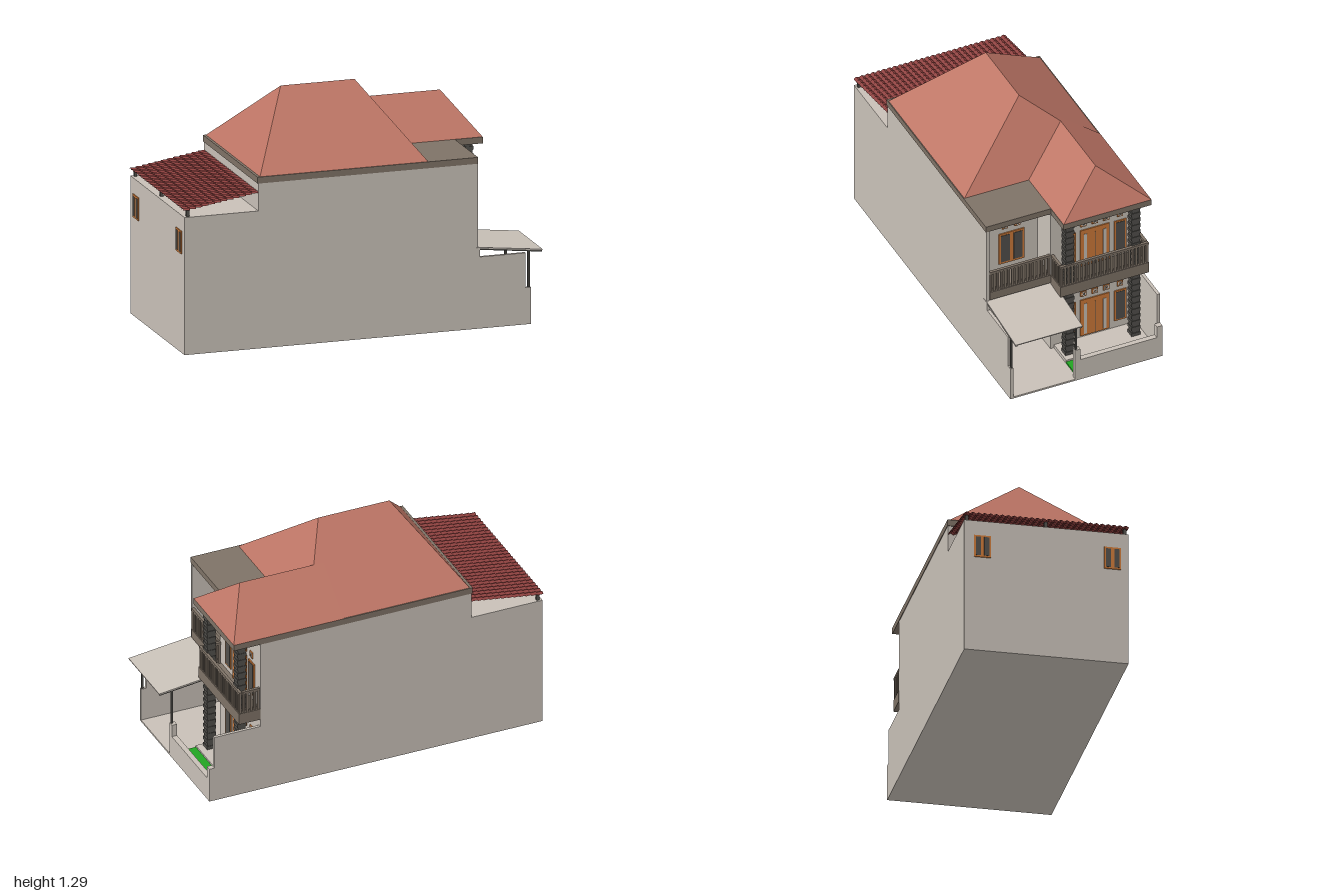
import * as THREE from 'three';

export function createModel() {
  const house = new THREE.Group();
  house.name = 'house';

  const paint = (name, color, side = THREE.FrontSide) => {
    const m = new THREE.MeshStandardMaterial({ color, side });
    m.name = name;
    return m;
  };
  const plaster = paint('plaster', 0xc8c0b7);
  const concrete = paint('concrete', 0x7e7266);
  const roofRed = paint('roofRed', 0xbd7565);
  const tileRed = paint('tileRed', 0x8e403e, THREE.DoubleSide);
  const wood = paint('orangeWood', 0xcd7a39);
  const stone = paint('darkStone', 0x514f4b);
  const grass = paint('grass', 0x22a422);

  const add = (name, geometry, material, parent = house) => {
    const mesh = new THREE.Mesh(geometry, material);
    mesh.name = name;
    parent.add(mesh);
    return mesh;
  };
  // Box given by its extents along each axis
  const box = (name, mat, x0, x1, y0, y1, z0, z1, parent) => {
    const g = new THREE.BoxGeometry(x1 - x0, y1 - y0, z1 - z0);
    g.translate((x0 + x1) / 2, (y0 + y1) / 2, (z0 + z1) / 2);
    return add(name, g, mat, parent);
  };
  const group = (name) => {
    const g = new THREE.Group();
    g.name = name;
    house.add(g);
    return g;
  };

  // Ground slab and main masses
  box('groundSlab', plaster, -0.99, 0.935, 0, 0.01, -0.442, 0.442);
  box('rearBlock', plaster, -0.99, -0.58, 0.01, 0.75, -0.442, 0.442);
  box('mainBlock', plaster, -0.58, 0.48, 0.01, 0.9, -0.442, 0.442);
  box('frontBay', plaster, 0.48, 0.64, 0.01, 0.9, -0.442, 0.07);
  box('sideWall', plaster, 0.48, 0.64, 0.01, 0.9, 0.425, 0.442);

  // Yard walls, stepped down towards the street
  for (const [z0, z1] of [[-0.442, -0.425], [0.425, 0.442]]) {
    box('yardWall', plaster, 0.64, 0.905, 0.01, 0.39, z0, z1);
    box('yardWallEnd', plaster, 0.905, 0.935, 0.01, 0.2, z0, z1);
  }
  box('streetWall', plaster, 0.905, 0.935, 0.01, 0.13, -0.425, 0.035);
  box('gatePillar', plaster, 0.905, 0.935, 0.01, 0.2, 0.035, 0.065);
  box('cornerPillar', plaster, 0.905, 0.935, 0.01, 0.2, -0.425, -0.41);
  box('terrace', plaster, 0.64, 0.79, 0.01, 0.03, -0.425, 0.05);
  box('lawn', grass, 0.79, 0.905, 0.01, 0.02, -0.425, 0.05);
  box('dado', concrete, 0.48, 0.484, 0.01, 0.11, 0.07, 0.425);

  // Roof slabs
  box('mainRoofSlab', concrete, -0.585, 0.64, 0.9, 0.935, -0.445, 0.445);
  box('porchRoofSlab', concrete, 0.64, 0.795, 0.9, 0.935, -0.445, 0.068);

  // Hipped roofs: eave rectangle, ridge from r0 to r1
  const hip = (name, x0, x1, z0, z1, y0, y1, r0, r1) => {
    const zc = (z0 + z1) / 2;
    const a = [x0, y0, z1], b = [x1, y0, z1], c = [x1, y0, z0], d = [x0, y0, z0];
    const e = [r0, y1, zc], f = [r1, y1, zc];
    const g = new THREE.BufferGeometry();
    const tris = [a, b, f, a, f, e, c, d, e, c, e, f, b, c, f, d, a, e];
    g.setAttribute('position', new THREE.Float32BufferAttribute(tris.flat(), 3));
    g.computeVertexNormals();
    add(name, g, roofRed);
  };
  hip('mainRoof', -0.57, 0.365, -0.44, 0.44, 0.935, 1.295, -0.305, 0.105);
  hip('porchRoof', 0.16, 0.795, -0.445, 0.066, 0.935, 1.14, 0.16, 0.645);

  // Rear lean-to roof: overlapping rows of rolled tiles
  const rows = 12, rolls = 28;
  const tiles = new THREE.PlaneGeometry(0.42, 0.885, rows * 2 - 1, rolls * 4);
  tiles.rotateX(-Math.PI / 2);
  const p = tiles.attributes.position;
  for (let i = 0; i < p.count; i++) {
    const col = i % (rows * 2), line = Math.floor(i / (rows * 2));
    const t = ((col >> 1) + (col % 2)) / rows;
    const roll = [0, 0.006, 0.009, 0.006][line % 4];
    p.setX(i, -0.995 + 0.415 * t);
    p.setY(i, 0.782 + 0.066 * t + roll + (col % 2 ? 0 : 0.006));
  }
  const flatTiles = tiles.toNonIndexed();
  flatTiles.computeVertexNormals();
  add('rearTileRoof', flatTiles, tileRed);
  for (const z of [-0.425, 0, 0.425]) {
    box('rearRoofPost', stone, -0.975, -0.96, 0.75, 0.786, z - 0.008, z + 0.008);
  }

  // Porch columns of stacked stone courses
  for (const z of [-0.375, 0.01]) {
    const column = group('porchColumn');
    const courses = 44, h = 0.87 / courses;
    for (let i = 0; i < courses; i++) {
      const r = i % 2 ? 0.023 : 0.026;
      box('stoneCourse', stone, 0.728 - r, 0.728 + r, 0.03 + i * h, 0.03 + (i + 1) * h, z - r, z + r, column);
    }
  }

  // Balcony floors and railings
  box('sideBalconyFloor', concrete, 0.48, 0.645, 0.45, 0.5, 0.07, 0.425);
  box('frontBalconyFloor', concrete, 0.64, 0.765, 0.435, 0.5, -0.445, 0.07);
  const railing = (x0, z0, x1, z1) => {
    const rail = group('balconyRailing');
    const len = Math.hypot(x1 - x0, z1 - z0), n = Math.round(len / 0.021), w = 0.006;
    for (let i = 0; i <= n; i++) {
      const x = x0 + (x1 - x0) * i / n, z = z0 + (z1 - z0) * i / n;
      box('baluster', concrete, x - w, x + w, 0.5, 0.618, z - w, z + w, rail);
    }
    box('handrail', concrete, Math.min(x0, x1) - 0.008, Math.max(x0, x1) + 0.008, 0.615, 0.63,
      Math.min(z0, z1) - 0.008, Math.max(z0, z1) + 0.008, rail);
  };
  railing(0.636, 0.078, 0.636, 0.417);
  railing(0.755, -0.436, 0.755, 0.06);
  railing(0.65, -0.436, 0.735, -0.436);
  railing(0.65, 0.06, 0.735, 0.06);

  // Carport canopy on posts
  const slope = Math.atan2(-0.042, 0.365);
  const canopy = add('canopy', new THREE.BoxGeometry(0.367, 0.006, 0.39), plaster);
  canopy.position.set(0.8175, 0.42, 0.247);
  canopy.rotation.z = slope;
  for (const z of [0.06, 0.435]) {
    const rafter = add('canopyRafter', new THREE.BoxGeometry(0.36, 0.008, 0.01), stone);
    rafter.position.set(0.8175, 0.413, z);
    rafter.rotation.z = slope;
    box('canopyPost', stone, 0.919, 0.931, 0.2, 0.404, z - 0.007, z + 0.003);
  }
  box('canopyBeam', stone, 0.919, 0.931, 0.394, 0.402, 0.055, 0.438);
  box('canopyLedge', plaster, 0.61, 0.65, 0.39, 0.442, 0.425, 0.444);

  // Framed pane on a wall at x, facing dir along x
  const pane = (name, x, dir, y0, y1, z0, z1, fill, m = 0.009) => {
    const g = group(name);
    const plate = (n, mat, t, a, b, c, d) => box(n, mat, Math.min(x, x + dir * t), Math.max(x, x + dir * t), a, b, c, d, g);
    plate('frame', wood, 0.006, y0, y1, z0, z1);
    plate('panel', fill, 0.008, y0 + m, y1 - m, z0 + m, z1 - m);
  };
  const vent = (x, y, z) => {
    pane('vent', x, 1, y - 0.017, y + 0.017, z - 0.017, z + 0.017, plaster, 0.004);
    const cross = group('ventCross');
    for (const a of [1, -1]) {
      const bar = add('ventBar', new THREE.BoxGeometry(0.009, 0.034, 0.003), wood, cross);
      bar.position.set(x + 0.005, y, z);
      bar.rotation.x = a * Math.PI / 4;
    }
    box('ventCentre', stone, x, x + 0.0099, y - 0.005, y + 0.005, z - 0.005, z + 0.005, cross);
  };

  // Openings repeat on both floors
  for (const up of [0, 0.46]) {
    pane('sideWindow', 0.483, 1, 0.075 + up, 0.272 + up, 0.224, 0.298, up ? stone : plaster, 0.012);
    pane('sideWindow', 0.483, 1, 0.075 + up, 0.272 + up, 0.15, 0.224, stone, 0.012);
    pane('frontWindow', 0.64, 1, 0.075 + up, 0.272 + up, -0.075, -0.005, stone);
    pane('frontWindow', 0.64, 1, 0.075 + up, 0.272 + up, -0.37, -0.3, stone);
    box('frontDoor', wood, 0.64, 0.646, 0.04 + up, 0.275 + up, -0.272, -0.102);
    for (const z of [-0.131, -0.243]) {
      box('doorSidelight', plaster, 0.64, 0.648, 0.05 + up, 0.248 + up, z - 0.009, z + 0.009);
    }
    box('doorSeam', stone, 0.64, 0.648, 0.04 + up, 0.248 + up, -0.188, -0.186);
    for (const z of [0.26, 0.188]) vent(0.48, 0.315 + up, z);
    for (const z of [-0.04, -0.12, -0.187, -0.253, -0.333]) vent(0.64, 0.315 + up, z);
  }
  for (const z of [-0.345, 0.355]) {
    pane('rearWindow', -0.99, -1, 0.54, 0.665, z - 0.045, z, stone);
    pane('rearWindow', -0.99, -1, 0.54, 0.665, z, z + 0.045, stone);
  }

  return house;
}
